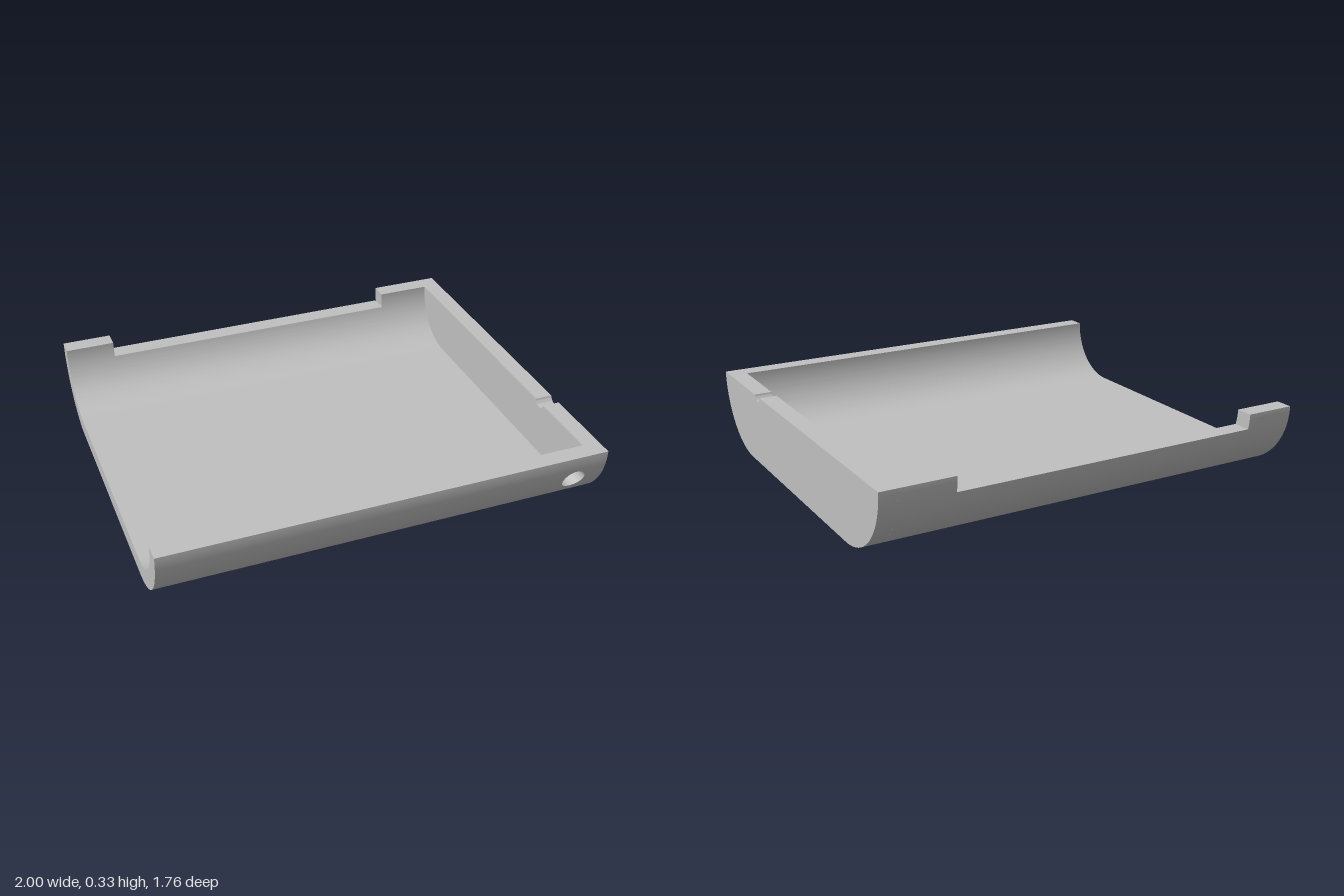
import * as THREE from 'three';
import { toCreasedNormals } from 'three/addons/utils/BufferGeometryUtils.js';

const TOP = 0.33;        // rim height and centre height of the rounded sides
const CZ = 0.55;         // z of the rounding centres
const OUT = 0.33, IN = 0.25; // outer and inner radii
const WALL_X = 0.92;     // inner face of the end wall
const HOLE = { x: 0.86, y: 0.2, r: 0.052, hx: 0.06, hy: 0.08 };

// Points along one rounded side from height y0 to y1, as (-z, y); side +1 is the front
function arc(side, R, y0, y1, n = 24) {
  const a0 = Math.asin((TOP - y0) / R), a1 = Math.asin((TOP - y1) / R);
  return Array.from({ length: n + 1 }, (_, i) => {
    const a = a0 + (a1 - a0) * i / n;
    return new THREE.Vector2(-side * (CZ + R * Math.cos(a)), TOP - R * Math.sin(a));
  });
}

// Cross-section swept along x
function sweep(shape, x0, x1) {
  const g = new THREE.ExtrudeGeometry(shape, { depth: x1 - x0, bevelEnabled: false, curveSegments: 16 });
  g.rotateY(Math.PI / 2).translate(x0, 0, 0);
  return toCreasedNormals(g, 0.5);
}

const wallBand = (side, y0, y1) =>
  new THREE.Shape([...arc(side, OUT, y0, y1), ...arc(side, IN, y1, y0)]);

// Piece of curved front wall around the round hole: two skins and the bore
function holePatch() {
  const N = 64, T = 5, pos = [], nor = [], idx = [];
  const depth = (y, R) => CZ + Math.sqrt(R * R - (TOP - y) ** 2);
  const stride = N + 1;
  for (const [R, s] of [[OUT, 1], [IN, -1]]) {
    const base = pos.length / 3;
    for (let t = 0; t <= T; t++) for (let i = 0; i <= N; i++) {
      const a = i / N * Math.PI * 2, c = Math.cos(a), d = Math.sin(a);
      const m = Math.max(Math.abs(c), Math.abs(d)), k = t / T;
      const x = HOLE.x + THREE.MathUtils.lerp(HOLE.r * c, HOLE.hx * c / m, k);
      const y = HOLE.y + THREE.MathUtils.lerp(HOLE.r * d, HOLE.hy * d / m, k);
      const z = depth(y, R);
      pos.push(x, y, z);
      nor.push(0, s * (y - TOP) / R, s * (z - CZ) / R);
      if (t < T && i < N) {
        const p = base + t * stride + i, q = p + stride;
        if (s > 0) idx.push(p, q, q + 1, p, q + 1, p + 1);
        else idx.push(p, q + 1, q, p, p + 1, q + 1);
      }
    }
  }
  const base = pos.length / 3;
  for (const R of [OUT, IN]) for (let i = 0; i <= N; i++) {
    const a = i / N * Math.PI * 2, c = Math.cos(a), d = Math.sin(a);
    const y = HOLE.y + HOLE.r * d;
    pos.push(HOLE.x + HOLE.r * c, y, depth(y, R));
    nor.push(-c, -d, 0);
    if (R === OUT && i < N) {
      const p = base + i, q = p + stride;
      idx.push(p, p + 1, q + 1, p, q + 1, q);
    }
  }
  const g = new THREE.BufferGeometry();
  g.setAttribute('position', new THREE.Float32BufferAttribute(pos, 3));
  g.setAttribute('normal', new THREE.Float32BufferAttribute(nor, 3));
  g.setIndex(idx);
  return g;
}

// Solid end plate with a small round notch in its rim
function endShape() {
  const r = 0.0327, cy = TOP + 0.0067, nz = 0.43;
  const a = Math.asin((cy - TOP) / r);
  const notch = Array.from({ length: 17 }, (_, i) => {
    const t = -a - (Math.PI - 2 * a) * i / 16;
    return new THREE.Vector2(-nz + r * Math.cos(t), cy + r * Math.sin(t));
  });
  return new THREE.Shape([...arc(1, OUT, TOP, 0), ...arc(-1, OUT, 0, TOP), ...notch]);
}

export function createModel() {
  const group = new THREE.Group();
  const grey = new THREE.MeshStandardMaterial({ color: 0xc0c0c0 });
  grey.name = 'light grey';
  const add = (name, geometry) => {
    const mesh = new THREE.Mesh(geometry, grey);
    mesh.name = name;
    group.add(mesh);
  };

  const y0 = HOLE.y - HOLE.hy, y1 = HOLE.y + HOLE.hy, backY = 0.26;

  // Floor with the lower front curve and the lowered back wall
  add('floor', sweep(new THREE.Shape([
    ...arc(1, OUT, y0, 0), ...arc(-1, OUT, 0, backY, 40),
    ...arc(-1, IN, backY, TOP - IN, 40), ...arc(1, IN, TOP - IN, y0),
  ]), -1, WALL_X));

  // Front wall, with the hole near the closed end
  add('frontWall', sweep(wallBand(1, y0, y1), -1, HOLE.x - HOLE.hx));
  add('frontWallHole', holePatch());
  add('frontRim', sweep(wallBand(1, y1, TOP), -1, WALL_X));

  // Raised ends of the back wall
  add('backRimRight', sweep(wallBand(-1, backY, TOP), -1, -0.77));
  add('backRimLeft', sweep(wallBand(-1, backY, TOP), 0.67, WALL_X));

  // Closed end
  add('endWall', sweep(endShape(), WALL_X, 1));
  return group;
}
